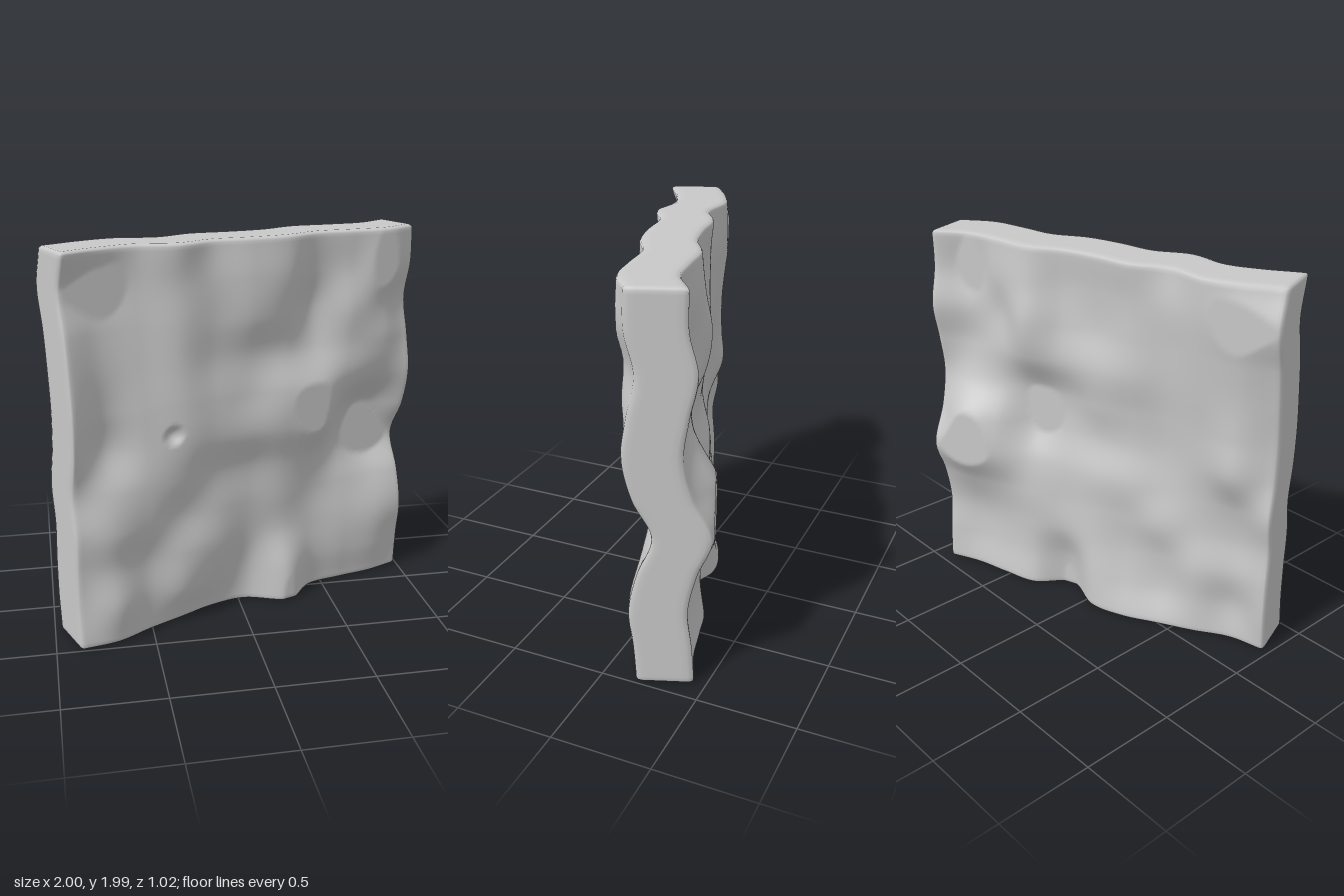
import * as THREE from 'three';
import { mergeVertices } from 'three/addons/utils/BufferGeometryUtils.js';

const WIDTH = 1.99, HEIGHT = 1.99, DEPTH = 0.28, BEVEL = 0.02;

// Relief in hundredths of a unit; rows run top to bottom, columns left to right.
const RELIEF = [
  [0, -4, -5, 3, 0, 4, 6, 3, 7, 10, 5],
  [-6, -8, -5, 1, 2, 6, 7, 1, 6, 12, 5],
  [-1, -5, -3, 2, 2, 6, 5, -2, 8, 8, 1],
  [2, -3, -1, 3, 1, 2, 3, 1, 6, 9, 5],
  [4, -3, 1, 5, 4, 4, 9, 10.5, 6, 5, 8],
  [3, -4, 2, 6, 5, 6, 9, 11, -2, -7, 4],
  [-1, 3, 4, 4, 1, 1, 4, 3, -5, -10, -5],
  [2, 6, 4, 1, 2, 1, 3, 1, 1, 0, 2],
  [1, 4, 1, 4, 3, 0, 3, 2, 5, 7, 6],
  [1, 7, 2, 4, 0, -2, 9, 3, 5, 7, 4],
  [3, 5, 1, -2, -5, -3, 11, 1, 2, 4, 3],
];

// Smooth spline through evenly spaced values, t from 0 to 1
function spline(values, t) {
  const last = values.length - 1;
  const s = THREE.MathUtils.clamp(t, 0, 1) * last;
  const i = Math.min(Math.floor(s), last - 1), f = s - i;
  const at = k => values[THREE.MathUtils.clamp(k, 0, last)];
  const a = at(i - 1), b = at(i), c = at(i + 1), d = at(i + 2);
  return b + 0.5 * f * (c - a + f * (2 * a - 5 * b + 4 * c - d + f * (3 * (b - c) + d - a)));
}

// Relief is cut off flat at its highest and lowest levels
function relief(x, y) {
  const column = RELIEF.map(row => spline(row, x / WIDTH + 0.5));
  return THREE.MathUtils.clamp(spline(column, 0.5 - y / HEIGHT) / 100, -0.06, 0.1);
}

function slabGeometry() {
  let geometry = new THREE.BoxGeometry(WIDTH, HEIGHT, DEPTH, 120, 120, 10);
  geometry.deleteAttribute('normal');
  geometry.deleteAttribute('uv');
  geometry = mergeVertices(geometry);
  const half = new THREE.Vector3(WIDTH, HEIGHT, DEPTH).multiplyScalar(0.5).subScalar(BEVEL);
  const low = half.clone().negate();
  const position = geometry.attributes.position;
  const p = new THREE.Vector3(), core = new THREE.Vector3();
  for (let i = 0; i < position.count; i++) {
    p.fromBufferAttribute(position, i);
    const front = p.z > DEPTH / 2 - 0.001;
    // Rounded edges
    core.copy(p).clamp(low, half);
    p.sub(core).setLength(BEVEL).add(core);
    // Wavy sheet: front and back move together
    p.z += relief(p.x, p.y);
    // Small round dent in the front
    if (front) {
      const r = Math.hypot(p.x + 0.46, p.y - 0.055) / 0.05;
      if (r < 1) p.z -= 0.03 * (1 - r * r);
    }
    position.setXYZ(i, p.x, p.y, p.z);
  }
  geometry.computeVertexNormals();
  return geometry;
}

export function createModel() {
  const group = new THREE.Group();
  group.name = 'wavyPanel';
  const grey = new THREE.MeshStandardMaterial({ color: 0xc8c8c8 });
  grey.name = 'grey';
  const slab = new THREE.Mesh(slabGeometry(), grey);
  slab.name = 'slab';
  slab.position.y = HEIGHT / 2;
  slab.rotation.y = THREE.MathUtils.degToRad(20);
  group.add(slab);
  return group;
}
